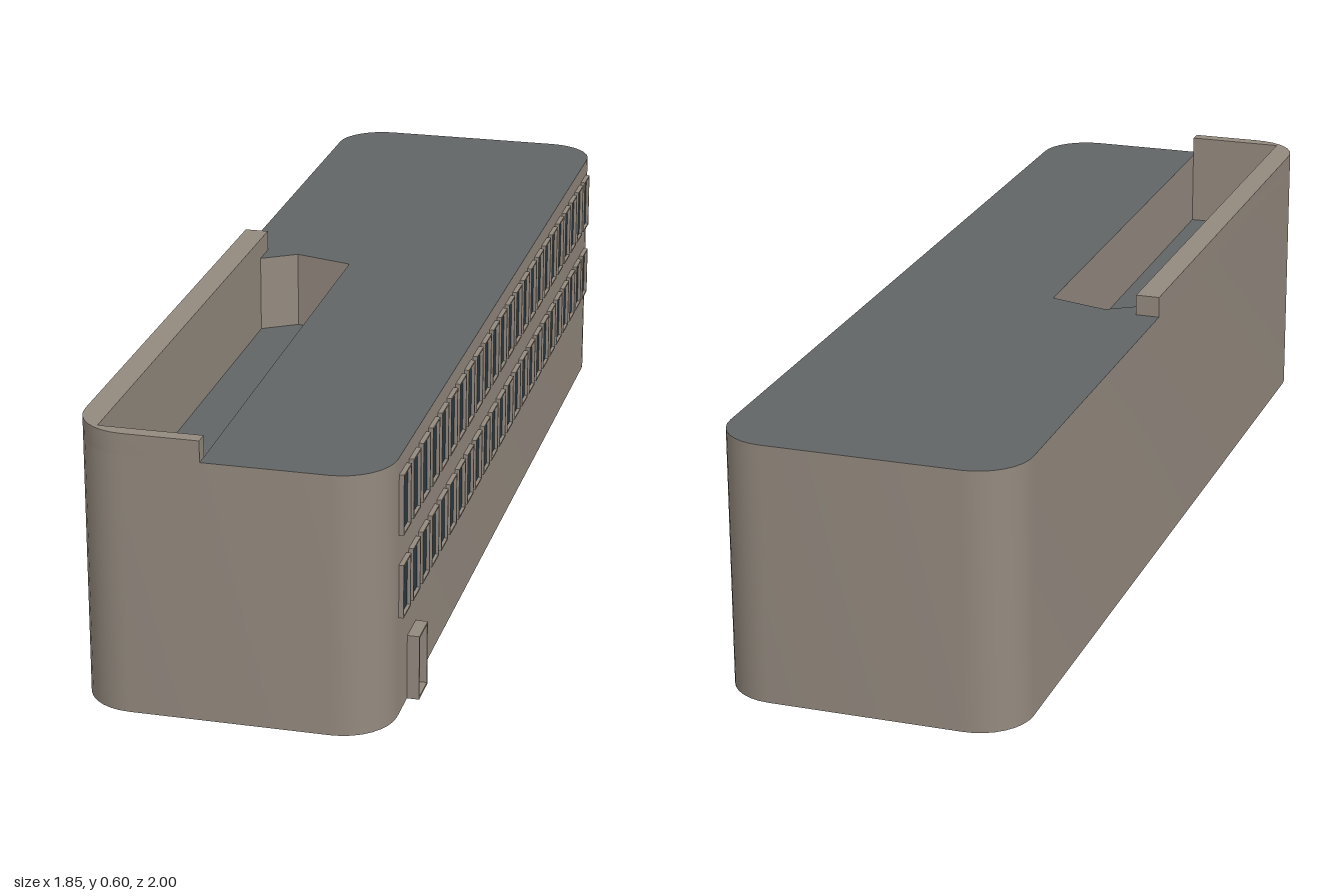
import * as THREE from 'three';
import { toCreasedNormals } from 'three/addons/utils/BufferGeometryUtils.js';

const mat = (color) => new THREE.MeshStandardMaterial({ color, side: THREE.DoubleSide });
const wallMat = mat(0x948a7f), roofMat = mat(0x626566), glassMat = mat(0x2c3b45);

const ROOF = 0.555, PARAPET = 0.6, PIT = 0.385;   // heights
const A = 1.0, B = 0.207, R = 0.11;               // corner centres and radius
const FRONT = B + R;

// Plan points [along, across] become a shape; rotating it by -90 degrees lays it flat
const planShape = (pts) => new THREE.Shape(pts.map(([u, v]) => new THREE.Vector2(u, -v)));

function arc(cu, cv, start, steps = 8) {
  const pts = [];
  for (let i = 0; i <= steps; i++) {
    const t = start + (i / steps) * Math.PI / 2;
    pts.push([cu + R * Math.cos(t), cv + R * Math.sin(t)]);
  }
  return pts;
}

// Vertical wall following a closed plan outline, open at top and bottom
function wallGeometry(pts, y0, y1) {
  const pos = [];
  pts.forEach(([u, v], i) => {
    const [p, q] = pts[(i + 1) % pts.length];
    pos.push(u, y0, v, u, y1, v, p, y1, q, u, y0, v, p, y1, q, p, y0, q);
  });
  const g = new THREE.BufferGeometry();
  g.setAttribute('position', new THREE.Float32BufferAttribute(pos, 3));
  return toCreasedNormals(g, 0.5);
}

// Framed opening: thin projecting surround with a dark pane inside
function framedPane(name, w, h, border, depth) {
  const rect = (C, a, b) => new C([
    new THREE.Vector2(-a, -b), new THREE.Vector2(a, -b),
    new THREE.Vector2(a, b), new THREE.Vector2(-a, b)]);
  const s = rect(THREE.Shape, w / 2 + border, h / 2 + border);
  s.holes.push(rect(THREE.Path, w / 2, h / 2));
  const frameGeo = new THREE.ExtrudeGeometry(s, { depth, bevelEnabled: false });
  const paneGeo = new THREE.PlaneGeometry(w, h);
  return (x, y) => {
    const g = new THREE.Group();
    g.name = name;
    const frame = new THREE.Mesh(frameGeo, wallMat);
    frame.name = name + 'Frame';
    const pane = new THREE.Mesh(paneGeo, glassMat);
    pane.name = name + 'Pane';
    pane.position.z = 0.003;
    g.add(frame, pane);
    g.position.set(x, y, FRONT);
    return g;
  };
}

export function createModel() {
  const model = new THREE.Group();
  const building = new THREE.Group();
  building.name = 'building';
  building.rotation.y = THREE.MathUtils.degToRad(48.8);
  model.add(building);

  const add = (name, geo, material, y = 0) => {
    const m = new THREE.Mesh(geo, material);
    m.name = name;
    m.position.y = y;
    building.add(m);
  };
  const flat = (geo) => geo.rotateX(-Math.PI / 2);

  // Outer walls: rounded rectangle
  const H = Math.PI / 2;
  const outline = [
    ...arc(A, B, 0), ...arc(-A, B, H), ...arc(-A, -B, 2 * H), ...arc(A, -B, 3 * H)];
  add('outerWalls', wallGeometry(outline, 0, ROOF), wallMat);

  // Roof with the sunken terrace cut out
  const pit = [[-1.08, -0.265], [0.078, -0.265], [0.126, -0.19], [0.089, -0.06], [-1.08, -0.05]];
  const roof = planShape(outline);
  roof.holes.push(planShape(pit));
  add('roof', flat(new THREE.ShapeGeometry(roof)), roofMat, ROOF);

  // Sunken terrace
  add('terraceWalls', wallGeometry(pit, PIT, ROOF), wallMat);
  add('terraceFloor', flat(new THREE.ShapeGeometry(planShape(pit))), roofMat, PIT);

  // Raised parapet along the back and round the corner
  const parapet = [
    [-A - R, -0.05], ...arc(-A, -B, 2 * H),
    [0.14, -FRONT], [0.14, -0.265], [-1.08, -0.265], [-1.08, -0.05]];
  const parapetGeo = new THREE.ExtrudeGeometry(planShape(parapet),
    { depth: PARAPET - ROOF, bevelEnabled: false });
  add('parapet', toCreasedNormals(flat(parapetGeo), 0.5), wallMat, ROOF);

  // Two rows of windows on the front
  const lower = framedPane('lowerWindow', 0.055, 0.106, 0.004, 0.01);
  const upper = framedPane('upperWindow', 0.055, 0.12, 0.004, 0.01);
  for (let i = 0; i < 24; i++) {
    const x = -0.96 + i * 0.0833;
    building.add(lower(x, 0.27), upper(x, 0.455));
  }

  // Entrance door
  building.add(framedPane('door', 0.064, 0.13, 0.005, 0.025)(-0.88, 0.07));

  return model;
}
